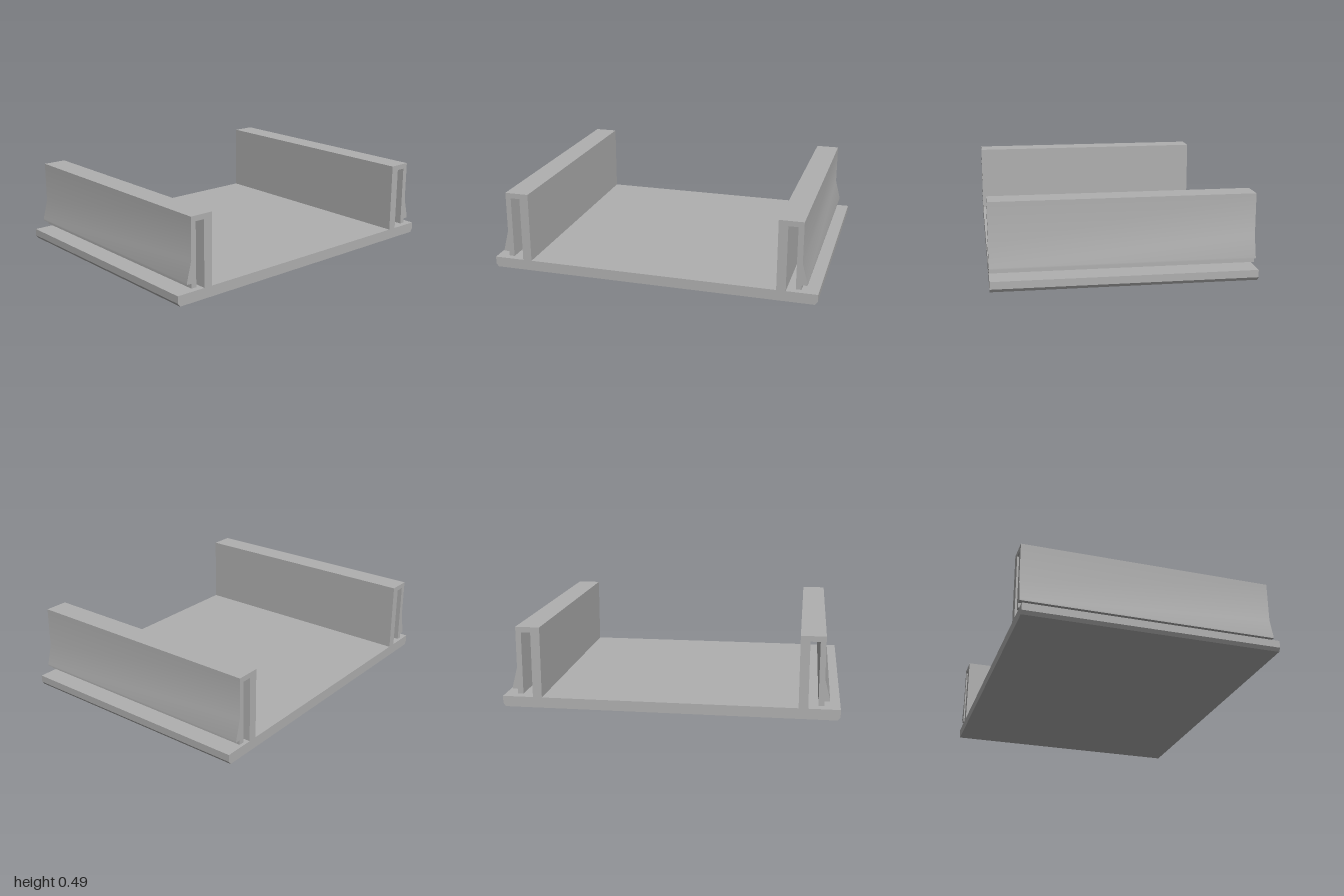
import * as THREE from 'three';
import { toCreasedNormals } from 'three/addons/utils/BufferGeometryUtils.js';

const DEPTH = 1.53;

// Extrude a front profile along z, centred on z = 0
function extrudeProfile(points) {
  const shape = new THREE.Shape(points.map(([x, y]) => new THREE.Vector2(x, y)));
  const geometry = new THREE.ExtrudeGeometry(shape, { depth: DEPTH, bevelEnabled: false });
  geometry.translate(0, 0, -DEPTH / 2);
  return toCreasedNormals(geometry, 0.5);
}

export function createModel() {
  const group = new THREE.Group();
  const grey = new THREE.MeshStandardMaterial({ color: 0xb0b0b0 });
  grey.name = 'grey plastic';

  // Flat plate with chamfered lower side edges
  const plate = new THREE.Mesh(extrudeProfile([
    [-0.985, 0], [0.985, 0], [1, 0.02], [1, 0.064], [-1, 0.064], [-1, 0.02],
  ]), grey);
  plate.name = 'basePlate';
  group.add(plate);

  // Folded clip: upright wall, top bridge and hanging spring arm with a barb
  const clipGeometry = extrudeProfile([
    [0.76, 0.064], [0.815, 0.064], [0.815, 0.46], [0.872, 0.46],
    [0.872, 0.083], [0.905, 0.083], [0.905, 0.112], [0.937, 0.112],
    [0.937, 0.122], [0.905, 0.245], [0.905, 0.492], [0.76, 0.492],
  ]);
  for (const [name, turn] of [['leftClip', 0], ['rightClip', Math.PI]]) {
    const clip = new THREE.Mesh(clipGeometry, grey);
    clip.name = name;
    clip.rotation.y = turn;
    group.add(clip);
  }
  return group;
}
